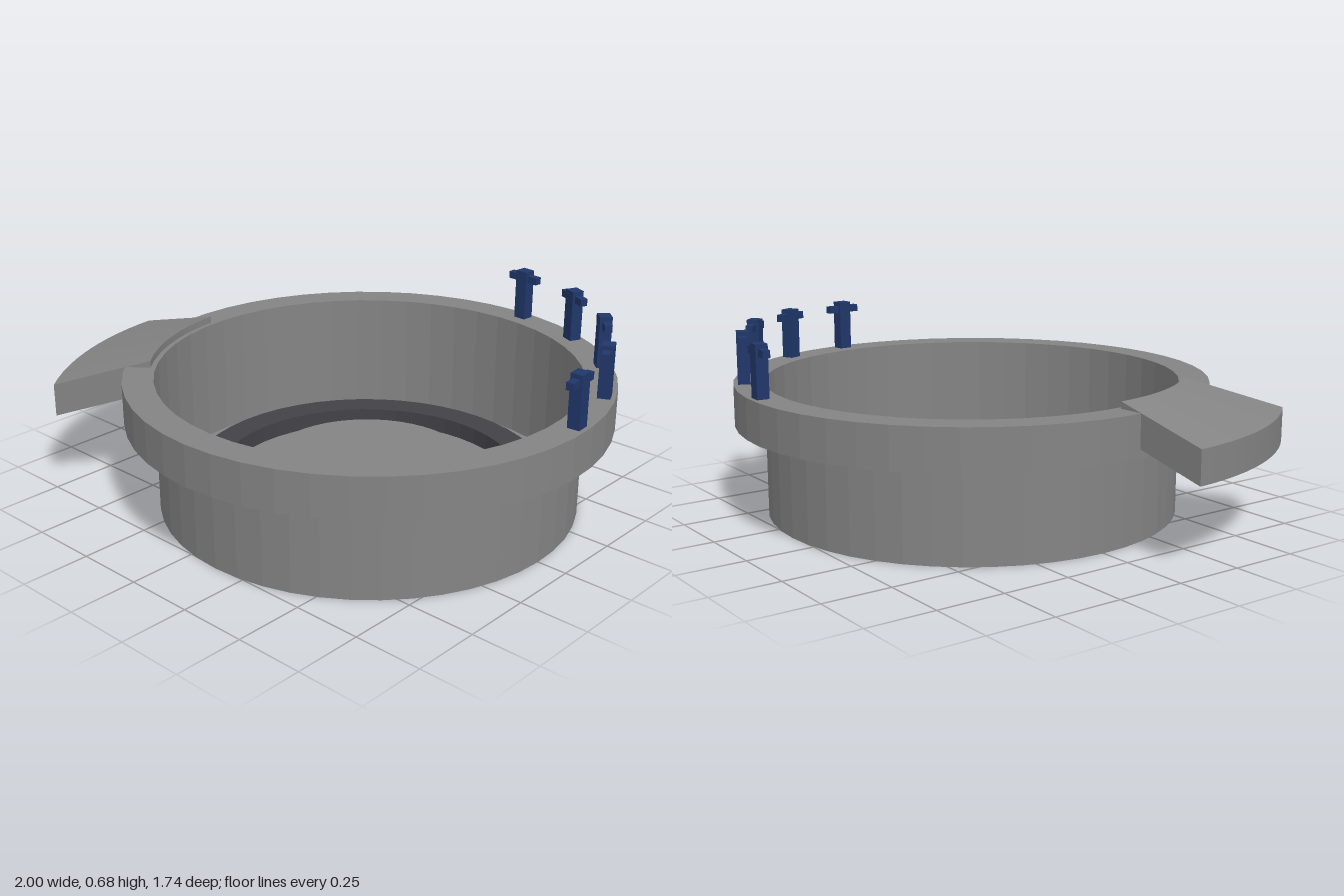
import * as THREE from 'three';

const SEGMENTS = 48;

export function createModel() {
  const grey = new THREE.MeshStandardMaterial({ color: 0x848484, side: THREE.DoubleSide, flatShading: true });
  grey.name = 'grey metal';
  const dark = new THREE.MeshStandardMaterial({ color: 0x434247, side: THREE.DoubleSide, flatShading: true });
  dark.name = 'dark seal';
  const blue = new THREE.MeshStandardMaterial({ color: 0x20376a, flatShading: true });
  blue.name = 'navy blue';

  const model = new THREE.Group();
  model.name = 'basin';
  // Everything is arranged around the basin axis
  const body = new THREE.Group();
  body.name = 'basinBody';
  body.position.x = 0.13;
  model.add(body);

  const add = (name, geometry, material, parent = body) => {
    const mesh = new THREE.Mesh(geometry, material);
    mesh.name = name;
    parent.add(mesh);
    return mesh;
  };
  const lathe = (points) =>
    new THREE.LatheGeometry(points.map(([r, y]) => new THREE.Vector2(r, y)), SEGMENTS);

  // Thin wall, and a collar that is open underneath
  add('wall', lathe([[0.76, 0], [0.76, 0.49]]), grey);
  add('collar', lathe([[0.87, 0.34], [0.87, 0.49], [0.76, 0.49]]), grey);

  // Floor slab, raised seal ring and central disc
  add('floor', new THREE.CylinderGeometry(0.758, 0.758, 0.037, SEGMENTS), grey).position.y = 0.0185;
  add('sealRing', lathe([[0.65, 0.037], [0.65, 0.1], [0.545, 0.1], [0.545, 0.037]]), dark);
  add('centreDisc', new THREE.CylinderGeometry(0.375, 0.375, 0.093, SEGMENTS), grey).position.y = 0.0835;

  // Sloping spout: a box bent around the axis and lowered toward its outer end
  const spout = new THREE.BoxGeometry(1, 1, 1, 1, 1, 12);
  const p = spout.attributes.position;
  for (let i = 0; i < p.count; i++) {
    const t = p.getX(i) + 0.5;
    const r = 0.777 + 0.353 * t;
    const a = THREE.MathUtils.degToRad(22.7 - p.getZ(i) * 37.9);
    const y = 0.455 - 0.095 * t + p.getY(i) * 0.12;
    p.setXYZ(i, -r * Math.cos(a), y, r * Math.sin(a));
  }
  spout.computeVertexNormals();
  add('spout', spout, grey);

  // Five cross-shaped pegs on the collar, bars set along its curve
  for (let i = 0; i < 5; i++) {
    const a = THREE.MathUtils.degToRad(5 + 20 * i);
    const peg = new THREE.Group();
    peg.name = `peg${i + 1}`;
    peg.position.set(0.83 * Math.cos(a), 0.49, -0.83 * Math.sin(a));
    peg.rotation.y = a;
    add('pegPost', new THREE.BoxGeometry(0.045, 0.19, 0.05), blue, peg).position.y = 0.095;
    add('pegBar', new THREE.BoxGeometry(0.027, 0.027, 0.135), blue, peg).position.y = 0.161;
    body.add(peg);
  }
  return model;
}
